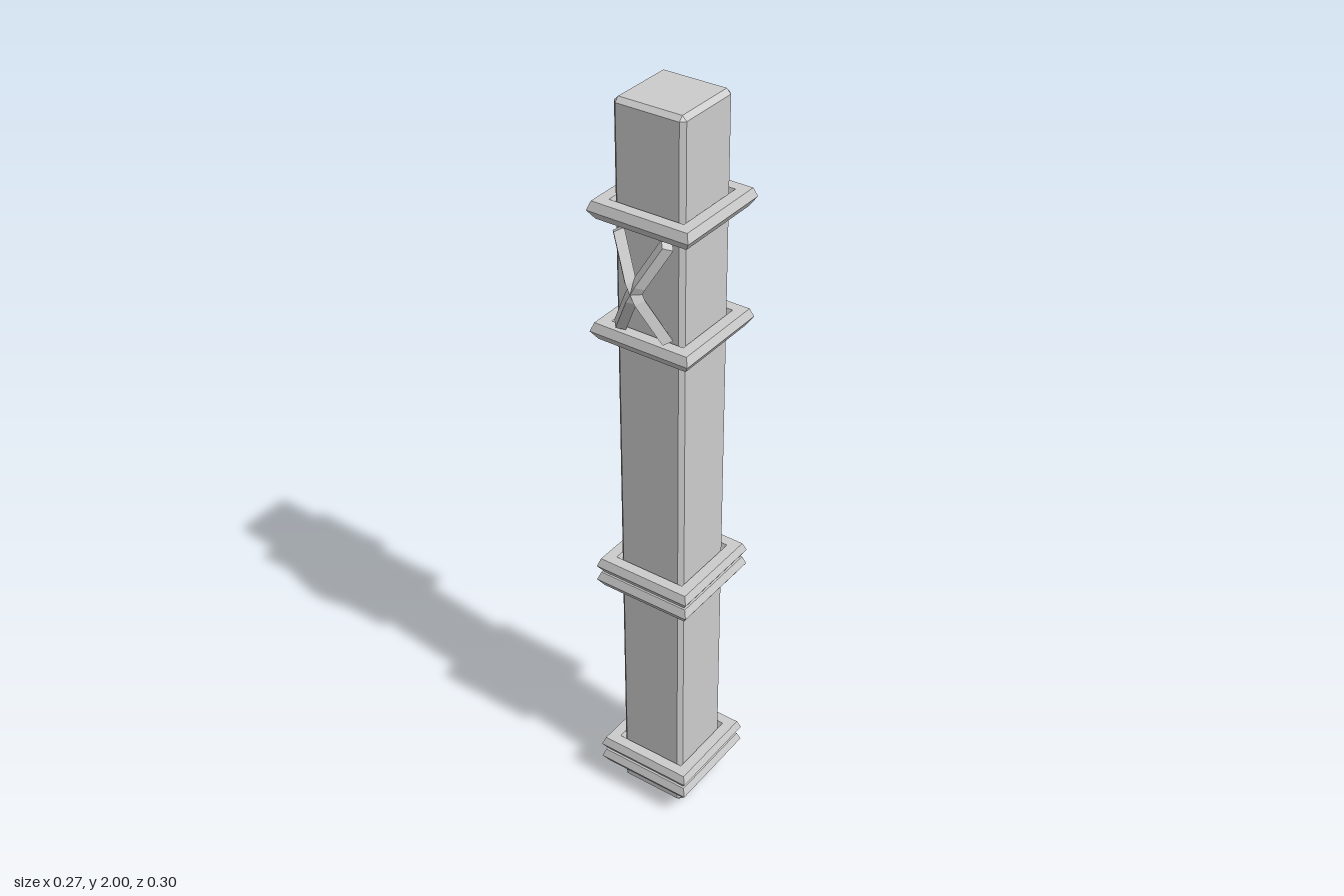
import * as THREE from 'three';
import { ConvexGeometry } from 'three/addons/geometries/ConvexGeometry.js';

const CENTER_Z = -0.014;

// Box with every edge chamfered
function chamferedBox(half, halfHeight, c) {
  const points = [];
  for (const x of [-1, 1]) for (const y of [-1, 1]) for (const z of [-1, 1]) {
    for (const [dx, dy, dz] of [[0, c, c], [c, 0, c], [c, c, 0]]) {
      points.push(new THREE.Vector3(x * (half - dx), y * (halfHeight - dy), z * (half - dz)));
    }
  }
  return new ConvexGeometry(points);
}

// Square collar, open in the middle, with a bevelled profile
function collarGeometry() {
  const profile = [
    [0.121, -0.022], [0.135, 0], [0.127, 0.022], [0.099, 0.022],
    [0.093, 0], [0.099, -0.022], [0.121, -0.022],
  ].map(([r, y]) => new THREE.Vector2(r * Math.SQRT2, y));
  const geometry = new THREE.LatheGeometry(profile, 4).toNonIndexed();
  geometry.rotateY(Math.PI / 4);
  geometry.computeVertexNormals();
  return geometry;
}

// Diamond-section bar bowed outwards in the middle
function bowedBarGeometry() {
  const geometry = new THREE.CylinderGeometry(0.018, 0.018, 3, 4, 3);
  const p = geometry.attributes.position;
  for (let i = 0; i < p.count; i++) {
    const middle = Math.abs(p.getY(i)) < 1;
    p.setY(i, Math.sign(p.getY(i)) * (middle ? 0.025 : 0.138));
    p.setZ(i, p.getZ(i) + (middle ? 0.129 : 0.098));
  }
  const flat = geometry.toNonIndexed();
  flat.computeVertexNormals();
  return flat;
}

export function createModel() {
  const model = new THREE.Group();
  model.name = 'post';
  const grey = new THREE.MeshStandardMaterial({ color: 0xcccccc });
  grey.name = 'light grey';
  grey.flatShading = true;

  const add = (name, geometry, y, z) => {
    const mesh = new THREE.Mesh(geometry, grey);
    mesh.name = name;
    mesh.position.set(0, y, z);
    model.add(mesh);
    return mesh;
  };

  // Square shaft
  add('shaft', chamferedBox(0.093, 1, 0.011), 1, CENTER_Z);

  // Collars: two at the base, two at mid height, two framing the cross
  const collar = collarGeometry();
  [0.082, 0.126, 0.701, 0.744, 1.431, 1.739].forEach((y, i) => {
    add('collar' + (i + 1), collar, y, CENTER_Z);
  });

  // Crossed bars on the front face
  const bar = bowedBarGeometry();
  for (const side of [-1, 1]) {
    add(side < 0 ? 'crossBarRising' : 'crossBarFalling', bar, 1.584, 0).rotation.z = side * 0.49;
  }
  return model;
}
